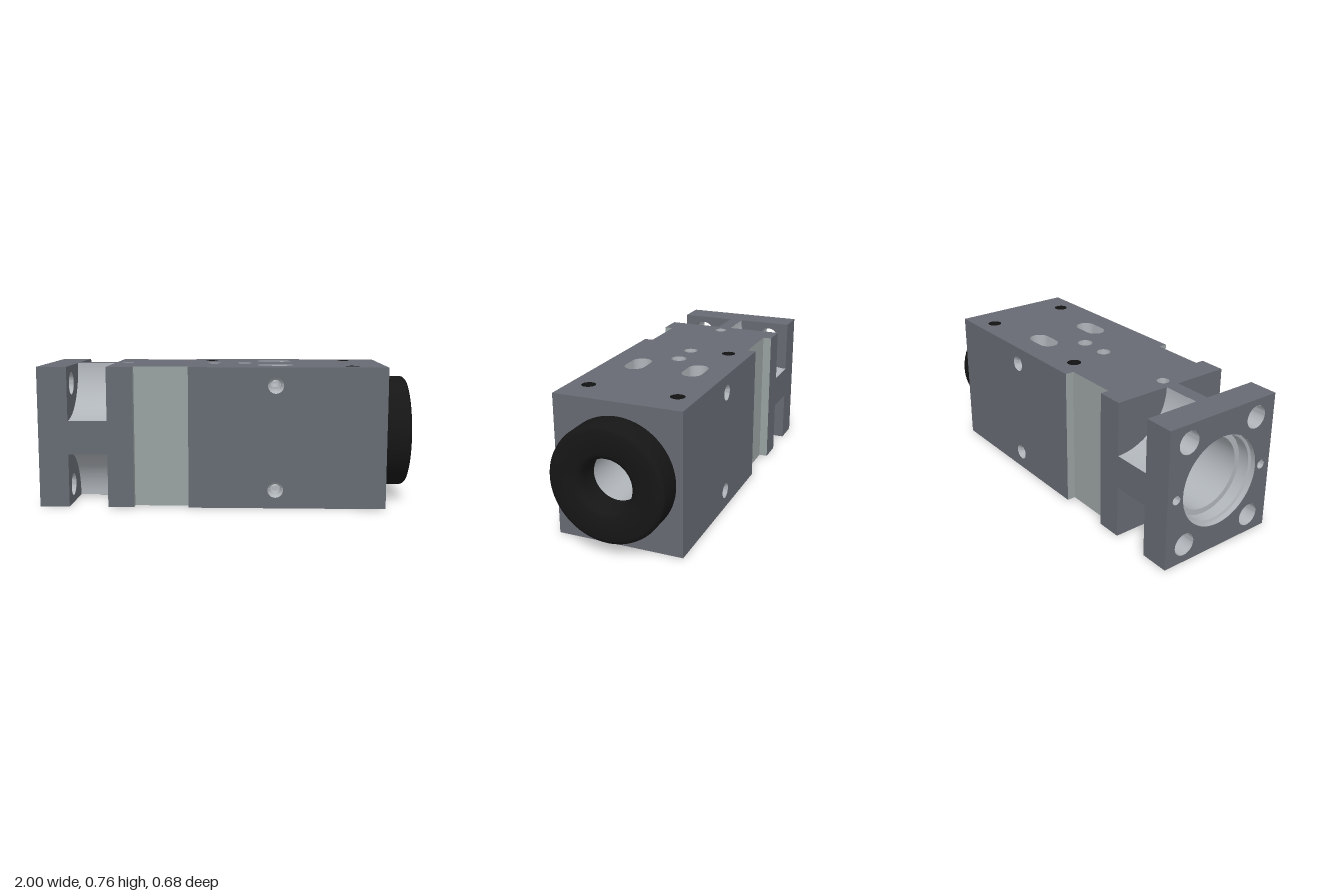
import * as THREE from 'three';
import { toCreasedNormals } from 'three/addons/utils/BufferGeometryUtils.js';

const H = 0.757, CY = H / 2, W = 0.342;      // body height, axis height, half width
const X0 = -1, XF = -0.84, XN = -0.63, XG = -0.49, XM = -0.195, XE = 0.86; // stations along x
const GW = 0.295;                            // half width at the side grooves
const BIG = 0.245, MID = 0.2, BORE = 0.131;  // bore radii
const SLOT = { x: 0.27, z: 0.164, half: 0.045, r: 0.055 };
const CROSS_Y = [0.1, 0.66];

const mat = (color) => new THREE.MeshStandardMaterial({ color, side: THREE.DoubleSide });

export function createModel() {
  const model = new THREE.Group();
  const body = mat(0x666a72), silver = mat(0xb0b5ba), groove = mat(0x99a2a1), black = mat(0x161616);

  const add = (name, geo, material, x = 0, y = 0, z = 0) => {
    const m = new THREE.Mesh(geo, material);
    m.name = name;
    m.position.set(x, y, z);
    model.add(m);
    return m;
  };

  // Shape helpers
  const poly = (pts) => new THREE.Shape(pts.map(([a, b]) => new THREE.Vector2(a, b)));
  const rect = (a, b, c, d) => poly([[a, b], [c, b], [c, d], [a, d]]);
  const hole = (shape, u, v, r) => shape.holes.push(new THREE.Path().absarc(u, v, r, 0, Math.PI * 2, true));
  const flat = (shape) => new THREE.ShapeGeometry(shape, 24);
  const extrudeX = (shape, len) => toCreasedNormals(
    new THREE.ExtrudeGeometry(shape, { depth: len, bevelEnabled: false, curveSegments: 24 }).rotateY(Math.PI / 2), 0.5);

  // Turned surface; points are [radius, position along axis]
  const turned = (pts, axis, phi = 0, len = Math.PI * 2, seg = 48) => {
    const g = new THREE.LatheGeometry(pts.map(([r, h]) => new THREE.Vector2(r, h)), seg, phi, len);
    if (axis === 'x') g.rotateZ(-Math.PI / 2);
    if (axis === 'z') g.rotateX(Math.PI / 2);
    return toCreasedNormals(g, 0.5);
  };

  // Mounting flange: wide counterbore in front, narrower bore behind
  const step = -0.9;
  for (const [a, b, r] of [[X0, step, BIG], [step, XF, MID]]) {
    const s = rect(-W, 0, W, H);
    hole(s, 0, CY, r);
    for (const sz of [-1, 1]) {
      for (const y of CROSS_Y) hole(s, sz * 0.22, y, 0.062);
      hole(s, sz * 0.285, 0.375, 0.025);
    }
    add('mountingFlange', extrudeX(s, b - a), body, a);
  }
  for (const sz of [-1, 1]) {
    for (const y of CROSS_Y)
      add('flangeScrewHole', turned([[0.061, X0 + 0.001], [0.061, XF - 0.001]], 'x'), silver, 0, y, sz * 0.22);
    add('flangePinHole', turned([[0.024, X0 + 0.001], [0.024, XF], [0, XF]], 'x'), silver, 0, 0.375, sz * 0.285);
  }

  // Neck: four corners scooped out, leaving a cross of webs
  const w = W - 0.001, lo = 0.001, hi = H - 0.001, rz = 0.304, ry = 0.288;
  const neck = new THREE.Shape();
  neck.absellipse(w, hi, rz, ry, Math.PI * 1.5, Math.PI, true);
  neck.absellipse(-w, hi, rz, ry, 0, -Math.PI / 2, true);
  neck.absellipse(-w, lo, rz, ry, Math.PI / 2, 0, true);
  neck.absellipse(w, lo, rz, ry, Math.PI, Math.PI / 2, true);
  hole(neck, 0, CY, MID);
  add('scoopedNeck', extrudeX(neck, XN - XF), silver, XF);

  // Holes entering from the top: [x, z, radius]
  const threads = [[-0.095, -0.217, 0.037], [0.68, -0.24, 0.037], [0.68, 0.24, 0.037]];
  const pits = [[-0.56, 0, 0.033], [-0.07, 0, 0.038], [0.1, 0, 0.042]];

  // Top and bottom faces, notched for the neck and the grooves
  const web = W - rz;
  const half = [[XF, web], [XN, web], [XN, W], [XG, W], [XG, GW], [XM, GW], [XM, W], [XE, W]];
  for (const top of [true, false]) {
    const s = poly([...half, ...half.map(([x, z]) => [x, -z]).reverse()]);
    for (const sz of [-1, 1]) {
      const p = new THREE.Path();
      p.absarc(SLOT.x + SLOT.half, sz * SLOT.z, SLOT.r, -Math.PI / 2, Math.PI / 2, false);
      p.absarc(SLOT.x - SLOT.half, sz * SLOT.z, SLOT.r, Math.PI / 2, Math.PI * 1.5, false);
      s.holes.push(p);
    }
    for (const [x, z, r] of threads) hole(s, x, z, top ? r : 0.026);
    if (top) for (const [x, z, r] of pits) hole(s, x, z, r);
    add(top ? 'topFace' : 'bottomFace', flat(s).rotateX(Math.PI / 2), body, 0, top ? H : 0);
  }
  for (const [x, z, r] of threads) {
    add('threadedInsert', turned([[r, H], [r, H - 0.05], [0, H - 0.05]], 'y'), black, x, 0, z);
    add('lowerScrewHole', turned([[0.026, 0], [0.026, 0.2], [0, 0.2]], 'y'), silver, x, 0, z);
  }
  pits.forEach(([x, z, r], i) => {
    const pts = i === 2
      ? [[r, H], [r, H - 0.04], [0.022, H - 0.04], [0.022, H - 0.09], [0, H - 0.09]]
      : [[r, H], [r, H - 0.05], [0, H - 0.05]];
    add('topBlindHole', turned(pts, 'y'), silver, x, 0, z);
  });

  // Side faces, grooves, slots and cross holes, mirrored front to back
  const zi = SLOT.z - SLOT.r, zo = SLOT.z + SLOT.r, sx0 = SLOT.x - SLOT.half, sx1 = SLOT.x + SLOT.half;
  const gap = Math.sqrt(BORE * BORE - zi * zi);
  for (const s of [-1, 1]) {
    add('sideWeb', flat(rect(XF, ry, XN, H - ry)), body, 0, 0, s * W);
    add('collarSide', flat(rect(XN, 0, XG, H)), body, 0, 0, s * W);
    const main = rect(XM, 0, XE, H);
    for (const y of CROSS_Y) hole(main, SLOT.x, y, 0.042);
    add('mainSide', flat(main), body, 0, 0, s * W);
    add('grooveFloor', flat(rect(XG, 0, XM, H)), groove, 0, 0, s * GW);
    for (const x of [XG, XM])
      add('grooveWall', flat(rect(GW, 0, W, H)).rotateY(-s * Math.PI / 2), groove, x);

    // Slot walls: rounded ends, outer wall, and inner wall open to the bore
    [sx1, sx0].forEach((x, i) => add('slotEnd',
      new THREE.CylinderGeometry(SLOT.r, SLOT.r, H, 20, 1, true, i * Math.PI, Math.PI), silver, x, CY, s * SLOT.z));
    const outer = rect(sx0, 0, sx1, H);
    for (const y of CROSS_Y) hole(outer, SLOT.x, y, 0.03);
    add('slotOuterWall', flat(outer), silver, 0, 0, s * zo);
    [[0, CY - gap], [CY + gap, H]].forEach(([a, b], i) => {
      const inner = rect(sx0, a, sx1, b);
      hole(inner, SLOT.x, CROSS_Y[i], 0.03);
      add('slotInnerWall', flat(inner), silver, 0, 0, s * zi);
    });
    for (const y of CROSS_Y)
      add('crossHole', turned([[0.042, s * W], [0.03, s * (W - 0.015)], [0.03, s * zo]], 'z'), silver, SLOT.x, y);
  }
  for (const y of CROSS_Y)
    add('crossHoleCentre', turned([[0.03, -zi], [0.03, zi]], 'z'), silver, SLOT.x, y);

  // End faces of the main body
  for (const [x, r] of [[XN, MID], [XE, BORE]]) {
    const s = rect(-W, 0, W, H);
    hole(s, 0, CY, r);
    add('bodyEnd', flat(s).rotateY(Math.PI / 2), body, x);
  }

  // Stepped bore, opened where the slots cut into it
  const k = 0.001;
  add('steppedBore', turned([[BIG - k, X0 + k], [BIG - k, -0.97], [BIG - 0.015, -0.965], [BIG - 0.015, step - k],
    [MID - k, step - k], [MID - k, -0.5], [BORE, -0.5], [BORE, sx0]], 'x', 0, Math.PI * 2, 64), silver, 0, CY);
  add('rearBore', turned([[BORE, sx1], [BORE, XE]], 'x'), silver, 0, CY);
  const cut = Math.acos(zi / BORE);
  for (const start of [cut, Math.PI + cut])
    add('boreBetweenSlots', turned([[BORE, sx0], [BORE, sx1]], 'x', start, Math.PI - 2 * cut, 20), silver, 0, CY);

  // Rubber ring with rounded lips
  add('endRing', turned([[0.13, XE], [0.13, 0.955], [0.135, 0.975], [0.147, 0.991], [0.165, 1], [0.28, 1],
    [0.293, 0.996], [0.303, 0.986], [0.307, 0.972], [0.307, XE]], 'x', 0, Math.PI * 2, 72), black, 0, CY);

  return model;
}
